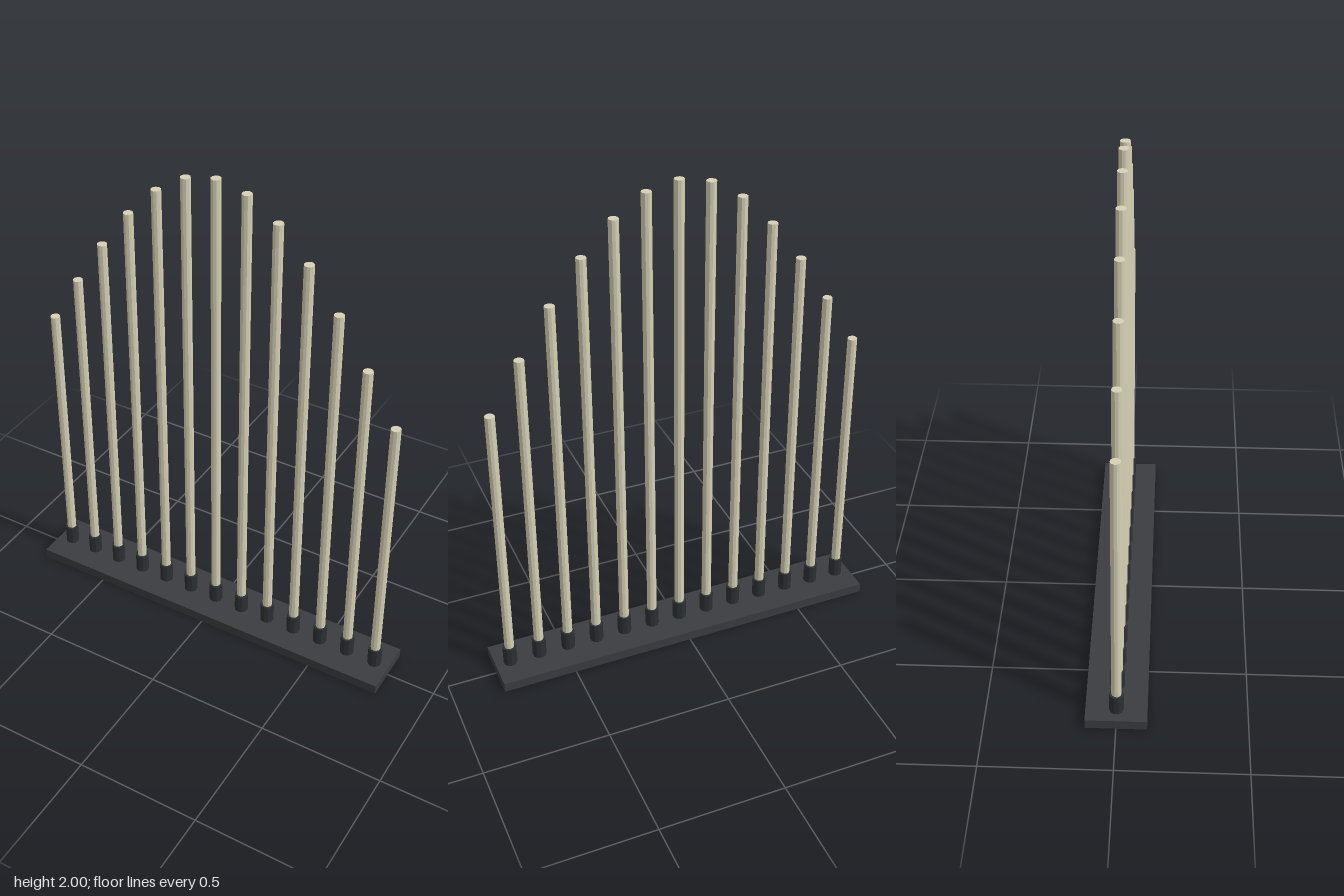
import * as THREE from 'three';

export function createModel() {
  const model = new THREE.Group();
  const dark = new THREE.MeshStandardMaterial({ color: 0x3b3c40, flatShading: true });
  const socketMat = new THREE.MeshStandardMaterial({ color: 0x2c3033, flatShading: true });
  const pale = new THREE.MeshStandardMaterial({ color: 0xd6d0b4, flatShading: true });

  const add = (name, geometry, material, x, y) => {
    const mesh = new THREE.Mesh(geometry, material);
    mesh.name = name;
    mesh.position.set(x, y, 0);
    model.add(mesh);
  };

  // Flat base plate
  const baseTop = 0.04;
  add('base', new THREE.BoxGeometry(1.6, baseTop, 0.236), dark, 0, baseTop / 2);

  // Row of rods in sockets, tops following a cosine arch
  const half = 6, spacing = 0.123, socketTop = 0.122;
  const socketGeo = new THREE.CylinderGeometry(0.028, 0.028, socketTop - baseTop, 10);
  for (let i = -half; i <= half; i++) {
    const x = i * spacing;
    const top = 1.21 + 0.79 * Math.cos((i / half) * Math.PI / 2);
    add('socket', socketGeo, socketMat, x, (baseTop + socketTop) / 2);
    const length = top - baseTop;
    add('rod', new THREE.CylinderGeometry(0.0195, 0.0195, length, 10), pale, x, baseTop + length / 2);
  }
  return model;
}
